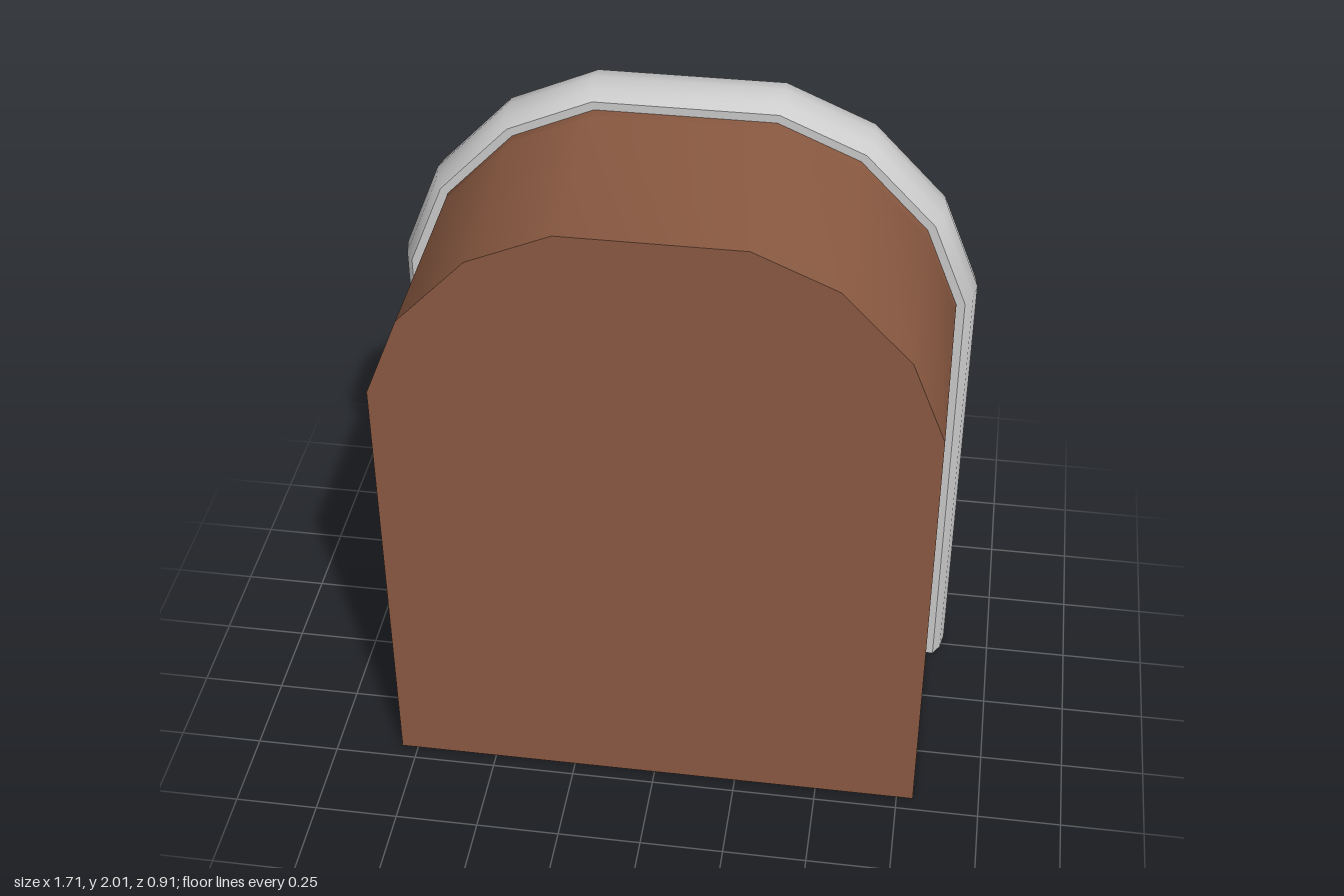
import * as THREE from 'three';
import { toCreasedNormals } from 'three/addons/utils/BufferGeometryUtils.js';

const mat = (color, side = THREE.FrontSide) => new THREE.MeshStandardMaterial({ color, side });
const brown = mat(0x8b5a42), pink = mat(0x8c656c), navy = mat(0x36325c);
const tan = mat(0xb8977c), blue = mat(0x6096ac), green = mat(0x82bda2);
const grey = mat(0xcccccc), groove = mat(0x5a4838);

const v2 = (list) => list.map(([x, y]) => new THREE.Vector2(x, y));
const rect = (x, y0, y1) => v2([[x, y0], [x, y1], [-x, y1], [-x, y0]]);

// Half of the arched outline, mirrored to a full one
const half = [[0.8, 0], [0.8, 1.39], [0.7, 1.64], [0.5, 1.85], [0.26, 1.955]];
const mirrored = (pts) => v2([...pts, ...pts.map(([x, y]) => [-x, y]).reverse()]);
const outline = mirrored(half);
const windowOutline = mirrored([[0.57, 1.37], [0.5, 1.55], [0.36, 1.7], [0.187, 1.773]]);

function mesh(name, geometry, material) {
  const m = new THREE.Mesh(geometry, material);
  m.name = name;
  return m;
}

// Extrusion from z0 to z1, with soft shading round the arch
function slab(points, holes, z0, z1) {
  const shape = new THREE.Shape(points);
  shape.holes = holes.map((h) => new THREE.Path(h));
  const g = new THREE.ExtrudeGeometry(shape, { depth: z1 - z0, bevelEnabled: false });
  return toCreasedNormals(g.translate(0, 0, z0), 0.5);
}

// Thin lining for the inside of an opening
function lining(points, z0, z1) {
  const c = new THREE.Box2().setFromPoints(points).getCenter(new THREE.Vector2());
  const inner = points.map((p) => p.clone().sub(c).multiplyScalar(0.985).add(c));
  return slab(points, [inner], z0, z1);
}

// Trim section: outward offset from the outline, and z
const trimSection = [
  [0, -0.2], [0.025, -0.2], [0.047, -0.235], [0.057, -0.29], [0.048, -0.345],
  [0.02, -0.385], [-0.015, -0.403], [-0.05, -0.408], [-0.09, -0.4], [-0.122, -0.378],
];

// Sweep of the section along the arch with mitred corners
function trimGeometry() {
  const position = [], index = [], n = trimSection.length;
  const normal = (a, b) => new THREE.Vector2(b.y - a.y, a.x - b.x).normalize();
  outline.forEach((p, i) => {
    const prev = outline[i - 1], next = outline[i + 1];
    const n1 = prev ? normal(prev, p) : normal(p, next);
    const n2 = next ? normal(p, next) : n1;
    const mitre = n1.clone().add(n2).divideScalar(1 + n1.dot(n2));
    trimSection.forEach(([d, z], j) => {
      position.push(p.x + mitre.x * d, p.y + mitre.y * d, z);
      if (next && j < n - 1) {
        const a = i * n + j;
        index.push(a, a + 1, a + n, a + 1, a + n + 1, a + n);
      }
    });
  });
  const g = new THREE.BufferGeometry();
  g.setAttribute('position', new THREE.Float32BufferAttribute(position, 3));
  g.setIndex(index);
  return toCreasedNormals(g, 0.9);
}

// Sloping control tray with a recessed screen
function createTray() {
  const tray = new THREE.Group();
  tray.name = 'controlTray';
  const opening = rect(0.25, -0.092, 0.09);
  const face = v2([
    [0.57, 0.106], [-0.57, 0.106], [-0.57, -0.08], [-0.545, -0.106], [0.545, -0.106], [0.57, -0.08],
  ]);
  tray.add(mesh('trayFrame', slab(face, [opening], -0.09, 0), tan));
  tray.add(mesh('screenSurround', lining(opening, -0.088, 0.001), navy));
  const screen = mesh('screen', new THREE.BoxGeometry(0.5, 0.182, 0.01), green);
  screen.position.z = -0.08;
  tray.add(screen);

  // Bracket-shaped grooves at each end
  for (const x of [-0.41, 0.44]) {
    const line = mesh('grooveLine', new THREE.BoxGeometry(0.007, 0.15, 0.002), groove);
    line.position.x = x;
    tray.add(line);
    for (const y of [-0.075, 0.075]) {
      const tick = mesh('grooveEnd', new THREE.BoxGeometry(0.05, 0.007, 0.002), groove);
      tick.position.set(x - 0.025, y, 0);
      tray.add(tick);
    }
  }
  tray.position.set(0, 1.225, -0.42);
  tray.rotation.set(-0.337, Math.PI, 0, 'YXZ');
  return tray;
}

export function createModel() {
  const model = new THREE.Group();
  model.name = 'archedCabinet';

  // Cabinet: solid front part and a back part with openings
  const slot = rect(0.25, 1.11, 1.315);
  model.add(mesh('cabinet', slab(outline, [], -0.17, 0.455), brown));
  model.add(mesh('backPanel', slab(outline, [windowOutline, slot], -0.38, -0.17), [pink, brown]));

  // Arched window
  model.add(mesh('windowSurround', lining(windowOutline, -0.381, -0.171), navy));
  model.add(mesh('windowGlass', slab(windowOutline, [], -0.177, -0.171), blue));

  // Rounded trim and its end caps
  model.add(mesh('archTrim', trimGeometry(), grey));
  const capShape = new THREE.Shape(v2(trimSection.map(([d, z]) => [0.8 + d, z])));
  const capMaterial = mat(0x8b5a42, THREE.DoubleSide);
  for (const side of [1, -1]) {
    const cap = mesh('trimEnd', new THREE.ShapeGeometry(capShape).rotateX(Math.PI / 2), capMaterial);
    cap.scale.x = side;
    model.add(cap);
  }

  model.add(createTray());
  return model;
}
